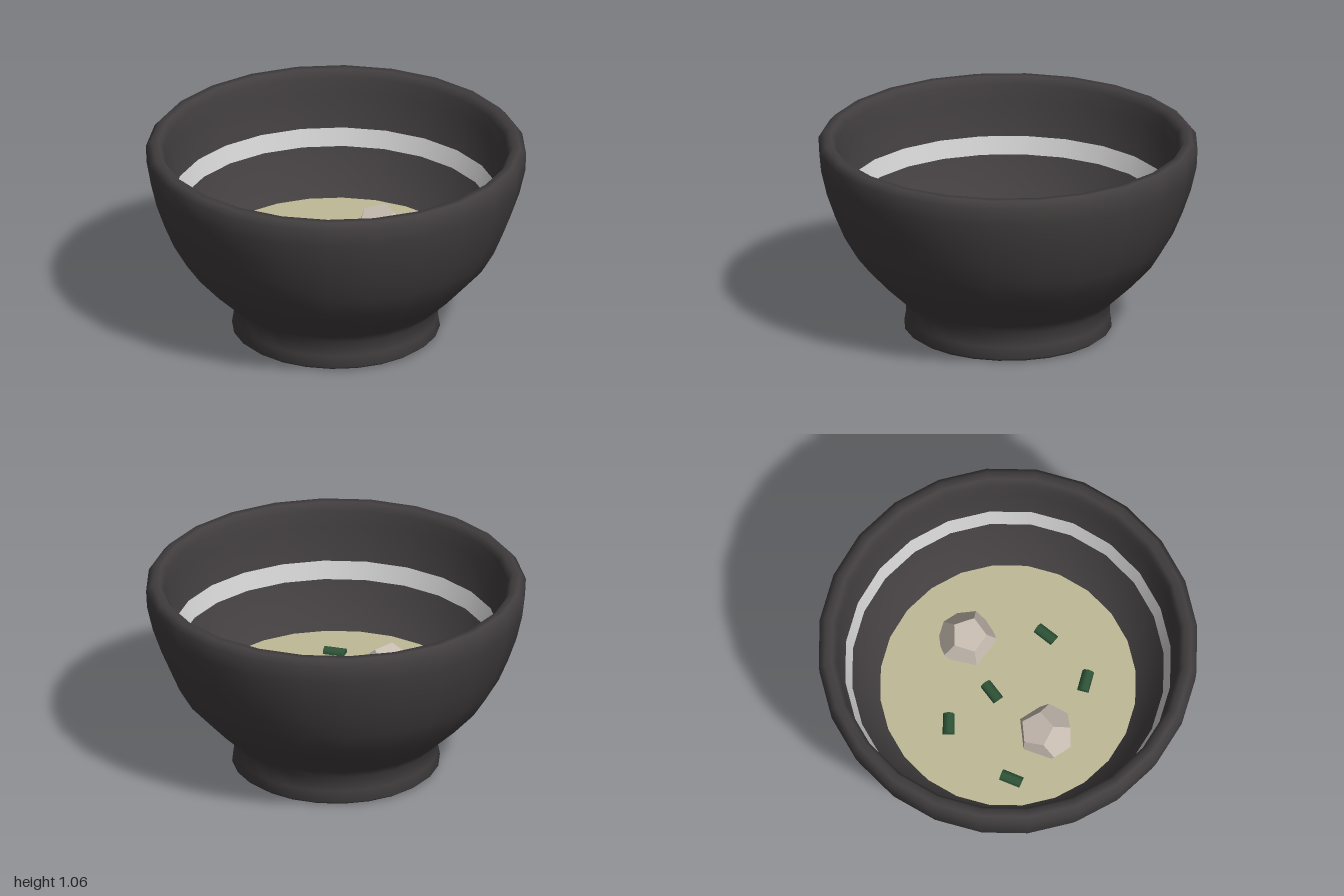
import * as THREE from 'three';

const SIDES = 24;
const SOUP_Y = 0.43;

function addMesh(parent, name, geometry, color, flatShading = false) {
  const mesh = new THREE.Mesh(geometry, new THREE.MeshStandardMaterial({ color, flatShading }));
  mesh.name = name;
  parent.add(mesh);
  return mesh;
}

function lathe(points) {
  return new THREE.LatheGeometry(points.map(([r, y]) => new THREE.Vector2(r, y)), SIDES);
}

export function createModel() {
  const model = new THREE.Group();
  model.name = 'soupBowl';

  // Bowl: recessed underside, foot ring, outer wall, lip, inner wall
  addMesh(model, 'bowl', lathe([
    [0, 0.06], [0.38, 0.06], [0.43, 0.01], [0.46, 0],
    [0.52, 0], [0.547, 0.02], [0.537, 0.08], [0.537, 0.16],
    [0.59, 0.215], [0.69, 0.31], [0.80, 0.43], [0.87, 0.55], [0.92, 0.67],
    [0.965, 0.8], [0.995, 0.93], [1, 1.025], [0.97, 1.06],
    [0.93, 1.06], [0.905, 1.02], [0.9, 0.93],
    [0.865, 0.75], [0.83, 0.66], [0.765, 0.55], [0.675, 0.43],
    [0.5, 0.3], [0.25, 0.24], [0, 0.23],
  ]), 0x423e3f);

  // Pale band just proud of the inner wall
  addMesh(model, 'innerStripe', lathe([[0.86, 0.75], [0.823, 0.66]]), 0xcccccc);

  // Soup surface, its edge buried in the wall
  const soup = addMesh(model, 'soup', new THREE.CircleGeometry(0.69, SIDES), 0xbfba97);
  soup.rotation.x = -Math.PI / 2;
  soup.position.y = SOUP_Y;

  // Faceted dumplings, half sunk: x, z, rotation
  const dumplings = [
    [-0.02, -0.335, [0.75, 0.3, -0.15]],
    [0, 0.33, [0.35, 0.5, 0.2]],
  ];
  for (const [x, z, rotation] of dumplings) {
    const dumpling = addMesh(model, 'dumpling', new THREE.DodecahedronGeometry(0.155), 0xc6bbb0, true);
    dumpling.position.set(x, SOUP_Y, z);
    dumpling.rotation.set(...rotation);
  }

  // Chopped herbs lying in the soup: x, z, heading
  const herbs = [
    [-0.38, -0.01, 2.5], [-0.09, -0.02, 0], [0.33, -0.11, 0.25],
    [0.34, 0.225, 2.25], [-0.295, 0.43, 0.53],
  ];
  const herbGeometry = new THREE.CylinderGeometry(0.031, 0.031, 0.115, 8).rotateX(Math.PI / 2);
  for (const [x, z, heading] of herbs) {
    const herb = addMesh(model, 'herb', herbGeometry, 0x2f5538);
    herb.position.set(x, SOUP_Y, z);
    herb.rotation.y = heading;
  }

  return model;
}
